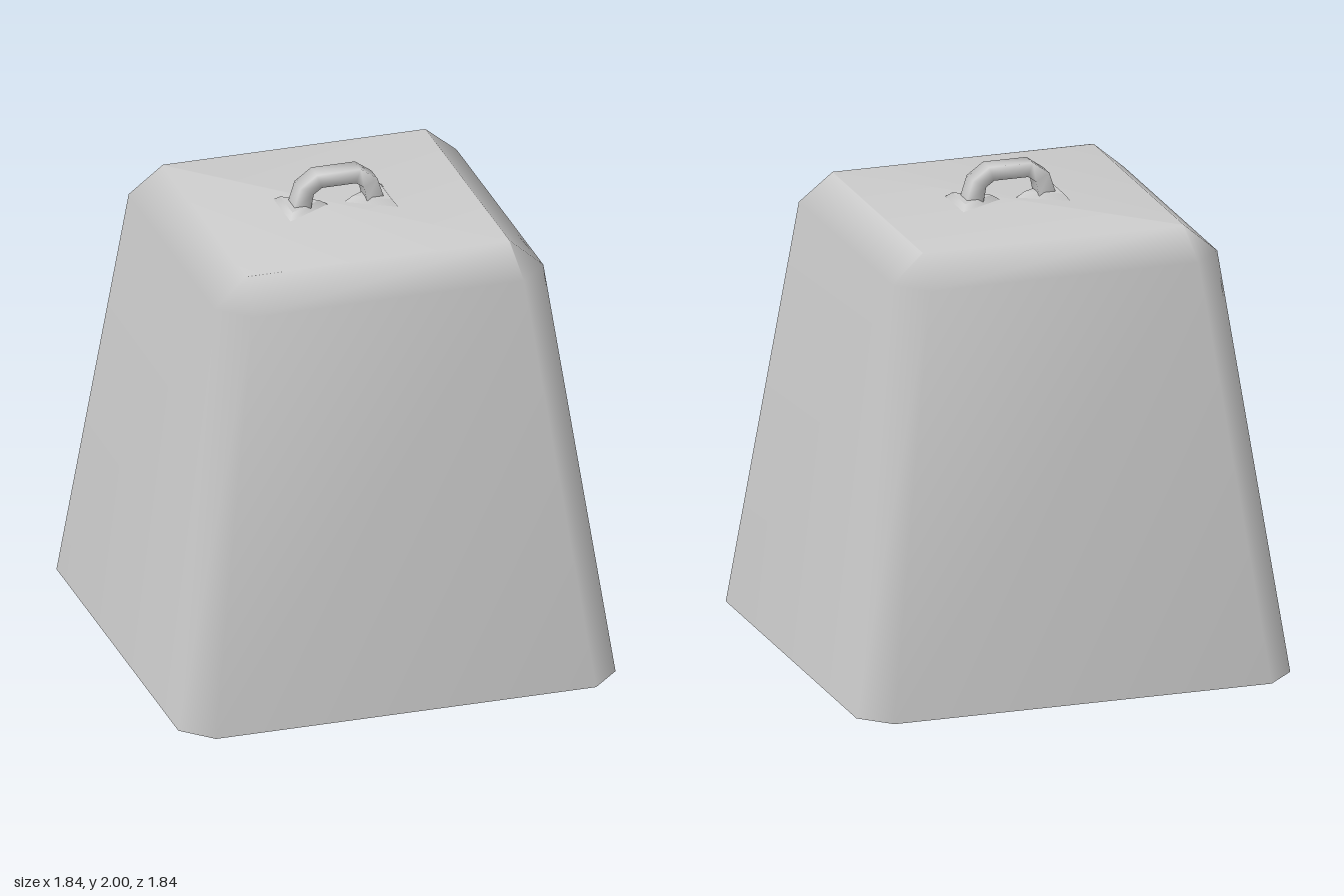
import * as THREE from 'three';

const material = new THREE.MeshStandardMaterial({ color: 0xcccccc });

// Skin a list of equal-sized rings (counter-clockwise seen from the loft's end) with smooth normals
function loft(rings, capEnd) {
  const n = rings[0].length;
  const index = [];
  for (let r = 0; r < rings.length - 1; r++) {
    for (let i = 0; i < n; i++) {
      const a = r * n + i, b = r * n + (i + 1) % n;
      index.push(a, b, b + n, a, b + n, a + n);
    }
  }
  if (capEnd) {
    const last = (rings.length - 1) * n;
    for (let i = 1; i < n - 1; i++) index.push(last, last + i, last + i + 1);
  }
  const geometry = new THREE.BufferGeometry();
  geometry.setAttribute('position', new THREE.Float32BufferAttribute(rings.flat(2), 3));
  geometry.setIndex(index);
  geometry.computeVertexNormals();
  return geometry;
}

// Square outline with cut corners
function outline(half, cut) {
  const s = half - cut;
  return [[s, half], [half, s], [half, -s], [s, -half],
    [-s, -half], [-half, -s], [-half, s], [-s, half]];
}
const ring = (half, cut, y) => outline(half, cut).map(([x, z]) => [x, y, z]);

function addMesh(parent, geometry, name) {
  const mesh = new THREE.Mesh(geometry, material);
  mesh.name = name;
  parent.add(mesh);
  return mesh;
}

export function createModel() {
  const model = new THREE.Group();
  model.name = 'weight';

  // Tapered block, bevelled at the corners and around the top
  const block = loft([ring(0.92, 0.12, 0), ring(0.69, 0.12, 1.73), ring(0.555, 0.004, 1.847)], true);
  addMesh(model, block, 'body');

  // Flat underside
  const base = new THREE.ShapeGeometry(new THREE.Shape(outline(0.92, 0.12).map(([x, z]) => new THREE.Vector2(x, z))));
  base.rotateX(Math.PI / 2);
  addMesh(model, base, 'underside');

  // Angular handle with a rectangular section, given as outer and inner points
  const half = [
    [[-0.192, 1.855], [-0.118, 1.855]],
    [[-0.162, 1.95], [-0.106, 1.918]],
    [[-0.092, 2], [-0.072, 1.942]],
  ];
  const mirrored = half.map((pair) => pair.map(([x, y]) => [-x, y])).reverse();
  const w = 0.04;
  const sections = [...half, ...mirrored].map(([[ox, oy], [ix, iy]]) => [
    [ox, oy, w], [ox, oy, -w], [ix, iy, -w], [ix, iy, w],
  ].reverse());
  addMesh(model, loft(sections, false), 'handle');

  // Triangular feet pointing towards the middle
  for (const side of [1, -1]) {
    const foot = new THREE.CylinderGeometry(0.092, 0.133, 0.026, 3, 1, false, -side * Math.PI / 2);
    const mesh = addMesh(model, foot, side > 0 ? 'leftHandleFoot' : 'rightHandleFoot');
    mesh.position.set(side * 0.163, 1.857, 0);
  }
  return model;
}
